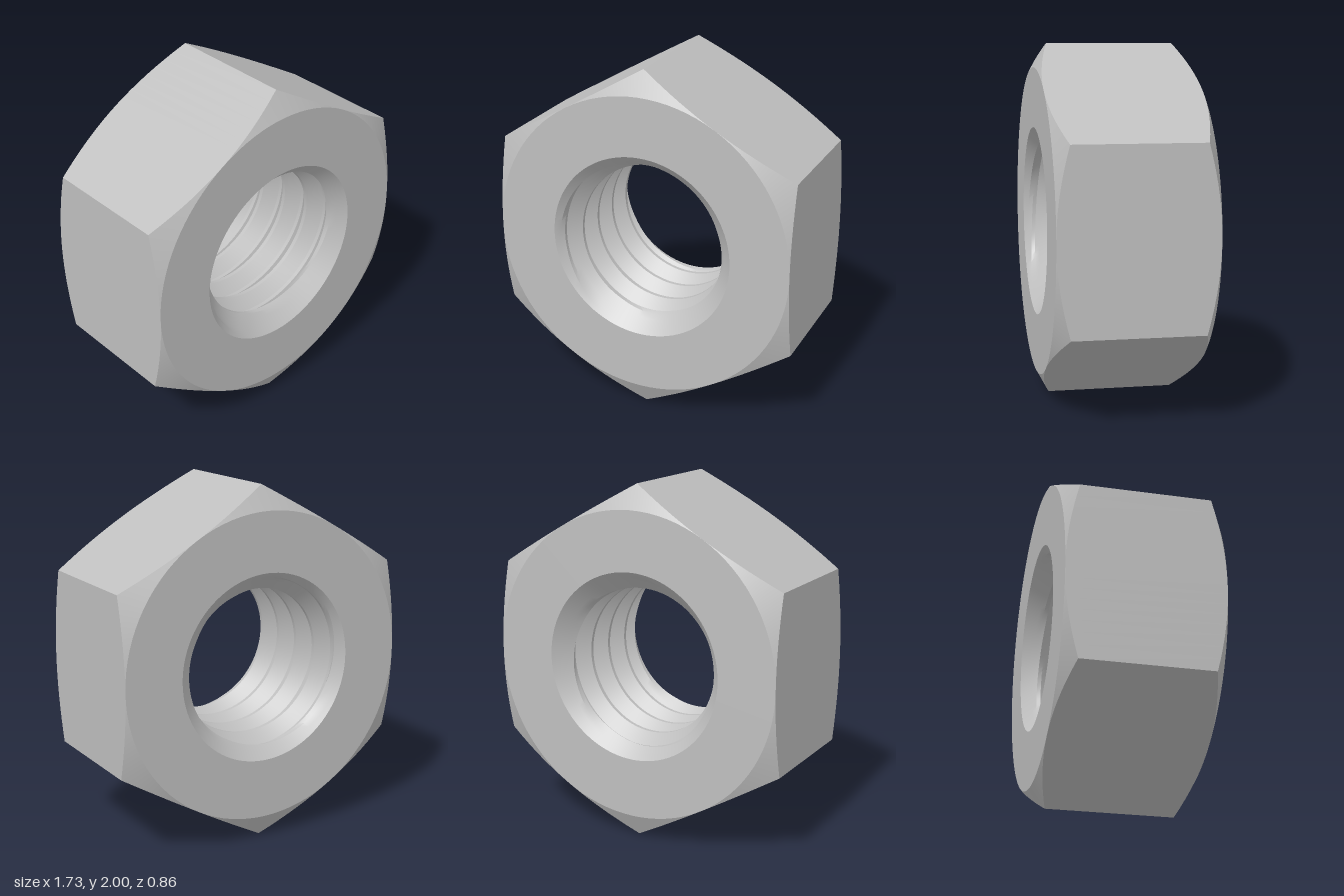
import * as THREE from 'three';
import { toCreasedNormals } from 'three/addons/utils/BufferGeometryUtils.js';

const SEG = 96, HALF = 0.43, FLAT = 0.866, MOUTH = 0.53;
const CREST = 0.425, ROOT = 0.49, PITCH = 0.18;

// Sweeps a profile of [radius, z] pairs, which may vary with the angle, round the z axis
function sweep(profileAt) {
  const rows = [];
  for (let i = 0; i <= SEG; i++) {
    const t = (i / SEG) * Math.PI * 2;
    rows.push(profileAt(t).map(([r, z]) => new THREE.Vector3(r * Math.cos(t), r * Math.sin(t), z)));
  }
  const pos = [];
  const tri = (a, b, c) => {
    const area = b.clone().sub(a).cross(c.clone().sub(a)).length();
    if (area > 1e-8) for (const p of [a, b, c]) pos.push(p.x, p.y, p.z);
  };
  for (let i = 0; i < SEG; i++) {
    for (let j = 0; j < rows[i].length - 1; j++) {
      const a = rows[i][j], b = rows[i][j + 1], c = rows[i + 1][j + 1], d = rows[i + 1][j];
      tri(a, b, c);
      tri(a, c, d);
    }
  }
  const g = new THREE.BufferGeometry();
  g.setAttribute('position', new THREE.Float32BufferAttribute(pos, 3));
  return toCreasedNormals(g, 0.4);
}

// Hexagonal outside whose corners are cut by a shallow cone at both ends
function bodyProfile(t) {
  const step = Math.PI / 3;
  const r = FLAT / Math.cos(t - Math.round(t / step) * step);
  const z = HALF - 0.54 * (r - FLAT);
  return [[MOUTH, HALF], [FLAT, HALF], [r, z], [r, -z], [FLAT, -HALF], [MOUTH, -HALF]];
}

// Thread radius within one turn: flat crest, flank, flat root, flank
function threadRadius(f) {
  if (f < 0.12) return CREST;
  if (f < 0.5) return CREST + (ROOT - CREST) * (f - 0.12) / 0.38;
  if (f < 0.62) return ROOT;
  return ROOT - (ROOT - CREST) * (f - 0.62) / 0.38;
}

// Helical thread rows, widened by a countersink at both mouths
const FRACTIONS = [0, 0.12, 0.25, 0.375, 0.5, 0.62, 0.75, 0.875];
function boreProfile(t) {
  const points = [];
  for (let turn = -4; turn <= 3; turn++) {
    for (const f of FRACTIONS) {
      const raw = (turn + f + t / (2 * Math.PI)) * PITCH;
      const z = THREE.MathUtils.clamp(raw, -HALF, HALF);
      points.push([Math.max(threadRadius(f), MOUTH - (HALF - Math.abs(z))), z]);
    }
  }
  return points;
}

export function createModel() {
  const steel = new THREE.MeshStandardMaterial({ color: 0xbfbfbf });
  steel.name = 'steel grey';
  const group = new THREE.Group();
  group.name = 'hexNut';
  const add = (name, profile) => {
    const mesh = new THREE.Mesh(sweep(profile), steel);
    mesh.name = name;
    mesh.position.y = 1;
    group.add(mesh);
  };
  add('hexBody', bodyProfile);
  add('threadedBore', boreProfile);
  return group;
}
